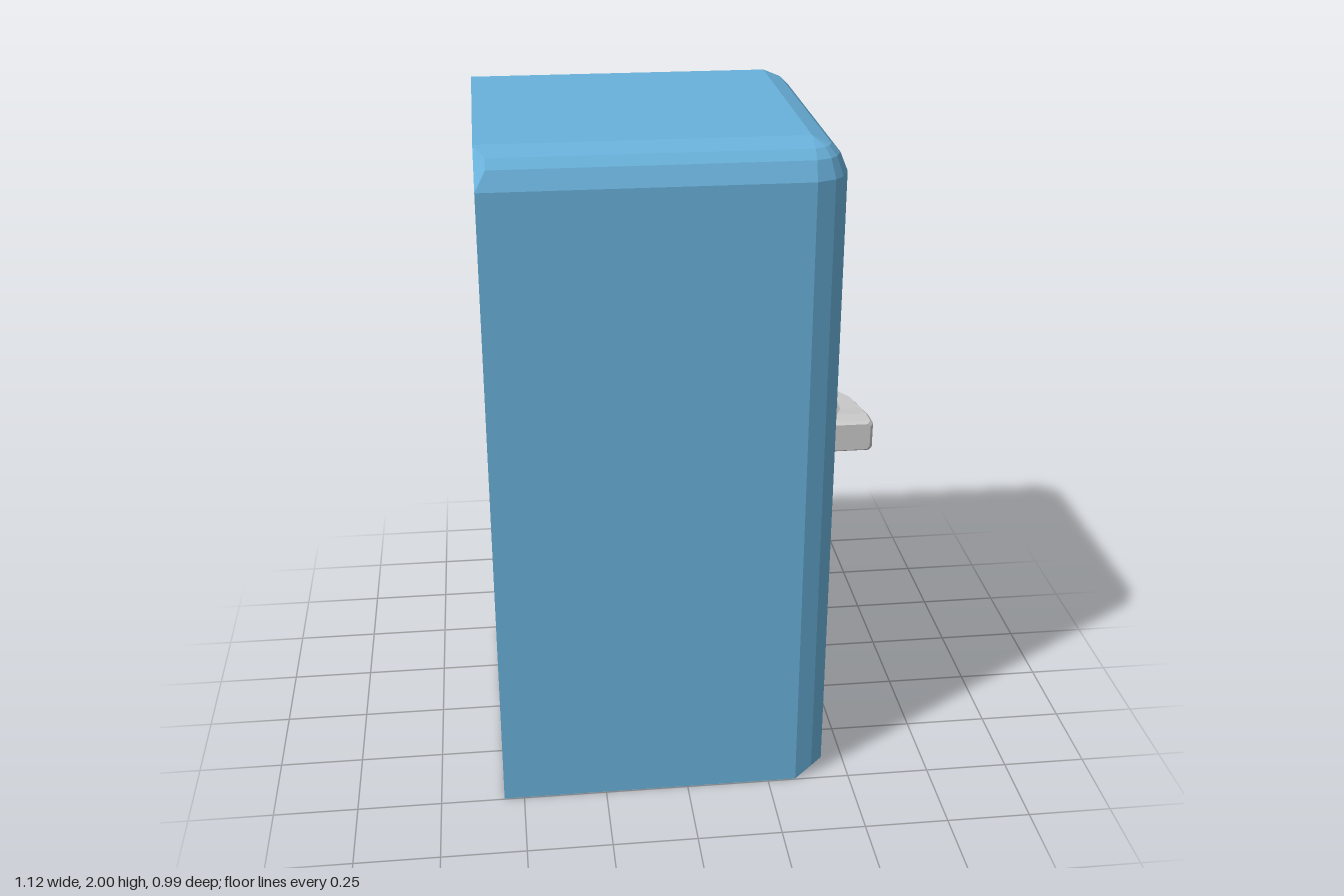
import * as THREE from 'three';

// Collects convex polygons (corners counter-clockwise from outside) into flat-shaded triangles
function makeMesh(name, color, build) {
  const pos = [];
  const face = (...p) => {
    for (let i = 1; i < p.length - 1; i++) pos.push(...p[0], ...p[i], ...p[i + 1]);
  };
  build(face);
  const geo = new THREE.BufferGeometry();
  geo.setAttribute('position', new THREE.Float32BufferAttribute(pos, 3));
  geo.computeVertexNormals();
  const mesh = new THREE.Mesh(geo, new THREE.MeshStandardMaterial({ color, flatShading: true }));
  mesh.name = name;
  return mesh;
}

// Joins neighbouring rings with quads
function loft(face, rings, closed) {
  for (let k = 0; k < rings.length - 1; k++) {
    const lo = rings[k], up = rings[k + 1], n = lo.length;
    for (let i = 0; i < (closed ? n : n - 1); i++) {
      const j = (i + 1) % n;
      face(lo[j], lo[i], up[i], up[j]);
    }
  }
}

// Quarter-round edge profile shared by all bevels
const BEVEL = [[0, 0.1], [0.053, 0.078], [0.078, 0.053], [0.1, 0]];
const BACK_X = -0.56, CORE_X = 0.335, CORE_Z = 0.397;

// Horizontal outline of the cabinet, with bevels scaled by s; open on the -x side
function cabinetRing(s, endX, yAt) {
  const half = BEVEL.map(([a, b]) => [CORE_X + a * s, CORE_Z + b * s]);
  half.unshift([endX, CORE_Z + 0.1 * s]);
  const back = half.map(([x, z], i) => [x, yAt(i), -z]);
  const front = half.map(([x, z], i) => [x, yAt(i), z]).reverse();
  return [...back, ...front];
}

function createCabinet() {
  return makeMesh('cabinet', 0x6ab2dc, (face) => {
    // Bottom ring lifts at the middle of each rounded corner
    const rings = [cabinetRing(1, BACK_X, (i) => (i === 2 || i === 3 ? 0.03 : 0))];
    BEVEL.forEach(([rise, r], k) => {
      const endX = k === 1 || k === 2 ? BACK_X + 0.03 : BACK_X;
      rings.push(cabinetRing(r * 10, endX, () => 1.9 + rise));
    });
    loft(face, rings, false);
    const [b, l1, l2, l3, top] = rings;
    // Top, then bottom with its two corner cuts
    face(top[9], top[5], top[4], top[0]);
    face(b[0], b[1], b[4], b[5], b[8], b[9]);
    face(b[1], b[2], b[3], b[4]);
    face(b[5], b[6], b[7], b[8]);
    // Flat -x side with its two corner cuts
    face(b[0], b[9], l1[9], top[9], top[0], l1[0]);
    face(l1[9], l2[9], l3[9], top[9]);
    face(top[0], l3[0], l2[0], l1[0]);
  });
}

function createHandle() {
  // Sections from foot to tip: z, inner x, outer x, half height
  const sections = [
    [0.36, 0.43, 0.546, 0.04],
    [0.35, 0.43, 0.555, 0.047],
    [0.3, 0.43, 0.555, 0.046],
    [0.298, 0.458, 0.555, 0.046],
    [0.235, 0.482, 0.554, 0.036],
    [0.125, 0.493, 0.543, 0.025],
    [0.015, 0.47, 0.5, 0.013],
  ];
  const y = 1.092, c = 0.009;
  const rings = sections.map(([z, xi, xo, h]) => [
    [xi, y - h, z], [xo - c, y - h, z], [xo, y - h + c, z],
    [xo, y + h - c, z], [xo - c, y + h, z], [xi, y + h, z],
  ]);
  return makeMesh('doorHandle', 0xcccccc, (face) => {
    loft(face, rings, true);
    face(...rings[0]);
    face(...[...rings[rings.length - 1]].reverse());
  });
}

export function createModel() {
  const group = new THREE.Group();
  group.name = 'refrigerator';
  group.add(createCabinet(), createHandle());
  return group;
}
